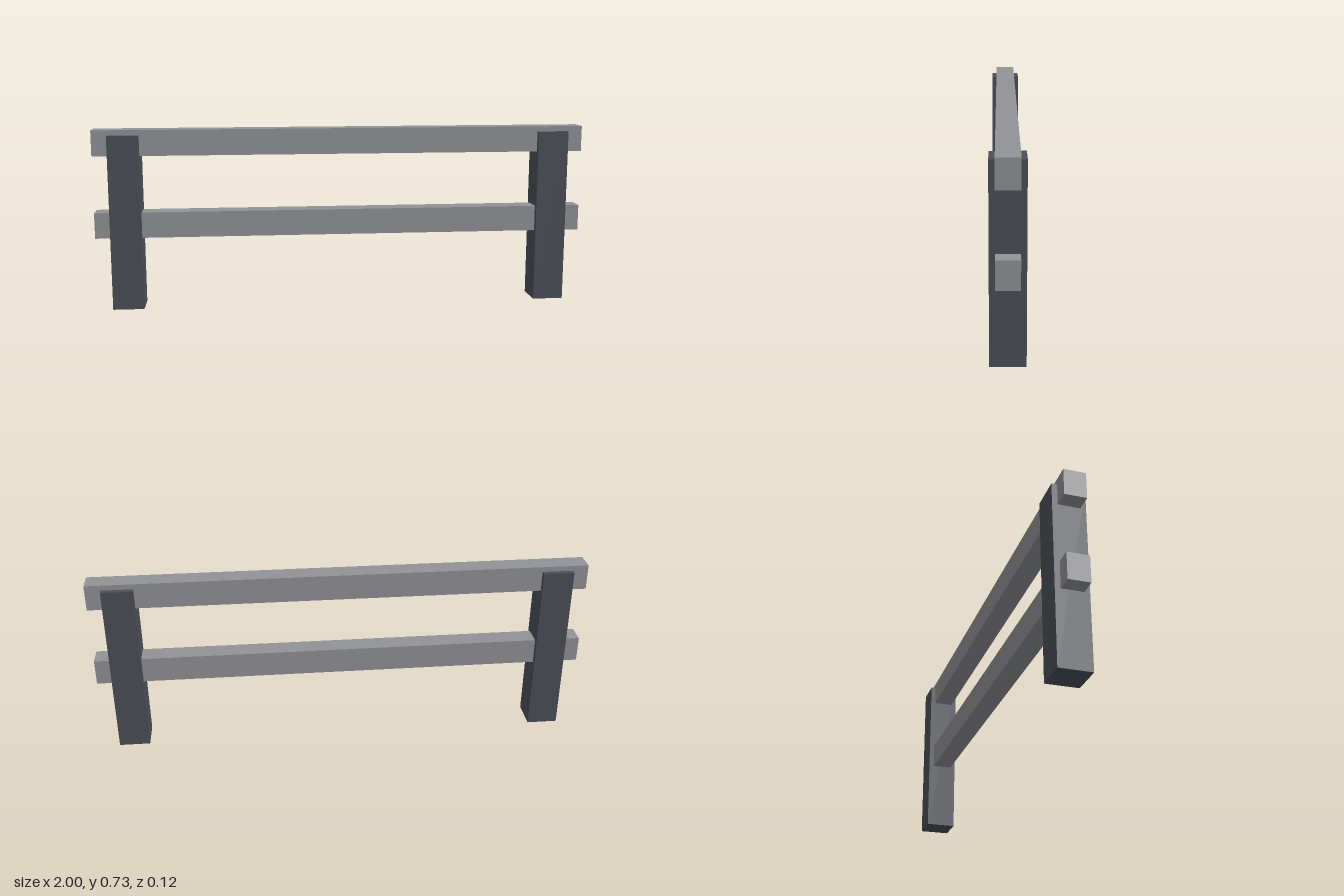
import * as THREE from 'three';

export function createModel() {
  const model = new THREE.Group();
  model.name = 'railFence';

  const postMaterial = new THREE.MeshStandardMaterial({ color: 0x4b4f58 });
  postMaterial.name = 'dark slate';
  const railMaterial = new THREE.MeshStandardMaterial({ color: 0x929397 });
  railMaterial.name = 'light grey';

  // Adds a box standing on the given bottom height
  function addBox(name, material, width, height, depth, x, bottom) {
    const mesh = new THREE.Mesh(new THREE.BoxGeometry(width, height, depth), material);
    mesh.name = name;
    mesh.position.set(x, bottom + height / 2, 0);
    model.add(mesh);
  }

  // Two square posts, mirrored across the middle
  for (const [name, side] of [['leftPost', 1], ['rightPost', -1]]) {
    addBox(name, postMaterial, 0.125, 0.708, 0.125, side * 0.875, 0);
  }

  // Two rails running through the posts; the upper one rises just above them
  for (const [name, bottom] of [['lowerRail', 0.292], ['upperRail', 0.625]]) {
    addBox(name, railMaterial, 2, 0.104, 0.0833, 0, bottom);
  }

  return model;
}
